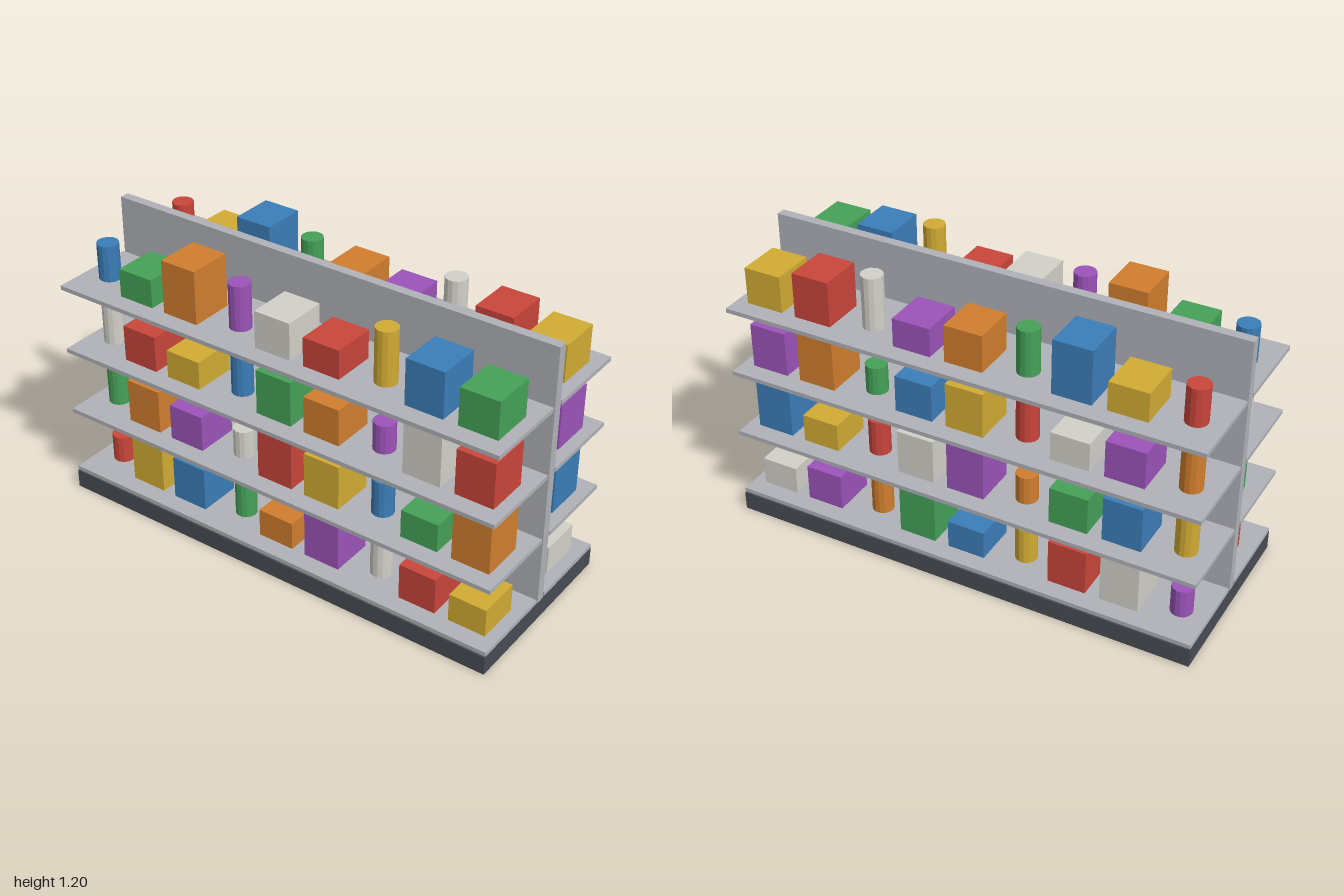
import * as THREE from 'three';

const SHELVES = 4, ITEMS = 9;
const STOCK_COLORS = [0xc9453a, 0xd1ab33, 0x3b7db9, 0x45a158, 0xd17e2e, 0x9b53b8, 0xd1d0c8];

function material(color) {
  return new THREE.MeshStandardMaterial({ color, flatShading: true });
}

// Adds a mesh whose underside rests at the given height
function place(parent, name, geometry, mat, x, bottom, z, height) {
  const mesh = new THREE.Mesh(geometry, mat);
  mesh.name = name;
  mesh.position.set(x, bottom + height / 2, z);
  parent.add(mesh);
  return mesh;
}

export function createModel() {
  const model = new THREE.Group();
  model.name = 'shelfUnit';

  const metal = material(0xafb2b8);
  const dark = material(0x484c53);
  const stock = STOCK_COLORS.map(material);

  // Plinth and central dividing panel
  place(model, 'base', new THREE.BoxGeometry(0.8, 0.08, 2), dark, 0, 0, 0, 0.08);
  place(model, 'backPanel', new THREE.BoxGeometry(0.04, 1.12, 2), metal, 0, 0.08, 0, 1.12);

  const shelfThickness = 0.018;
  const shelfGeometry = new THREE.BoxGeometry(0.366, shelfThickness, 2);

  for (const side of [1, -1]) {
    const bay = new THREE.Group();
    bay.name = side > 0 ? 'leftBay' : 'rightBay';
    model.add(bay);

    for (let row = 0; row < SHELVES; row++) {
      const y = 0.082 + row * 0.287;
      place(bay, 'shelf', shelfGeometry, metal, side * 0.212, y, 0, shelfThickness);

      // Goods: every third one is a can, the rest are cartons in four heights
      const firstColor = row * 3 + (side > 0 ? 5 : 0);
      for (let i = 0; i < ITEMS; i++) {
        const height = 0.12 + 0.035 * ((3 * (i + row)) % 4);
        const isCan = i % 3 === 0;
        const geometry = isCan
          ? new THREE.CylinderGeometry(0.045, 0.045, height, 14)
          : new THREE.BoxGeometry(0.185, height, 0.16);
        place(bay, isCan ? 'can' : 'carton', geometry, stock[(firstColor + i) % stock.length],
          side * 0.227, y + shelfThickness, -0.89 + 0.22 * i, height);
      }
    }
  }
  return model;
}
